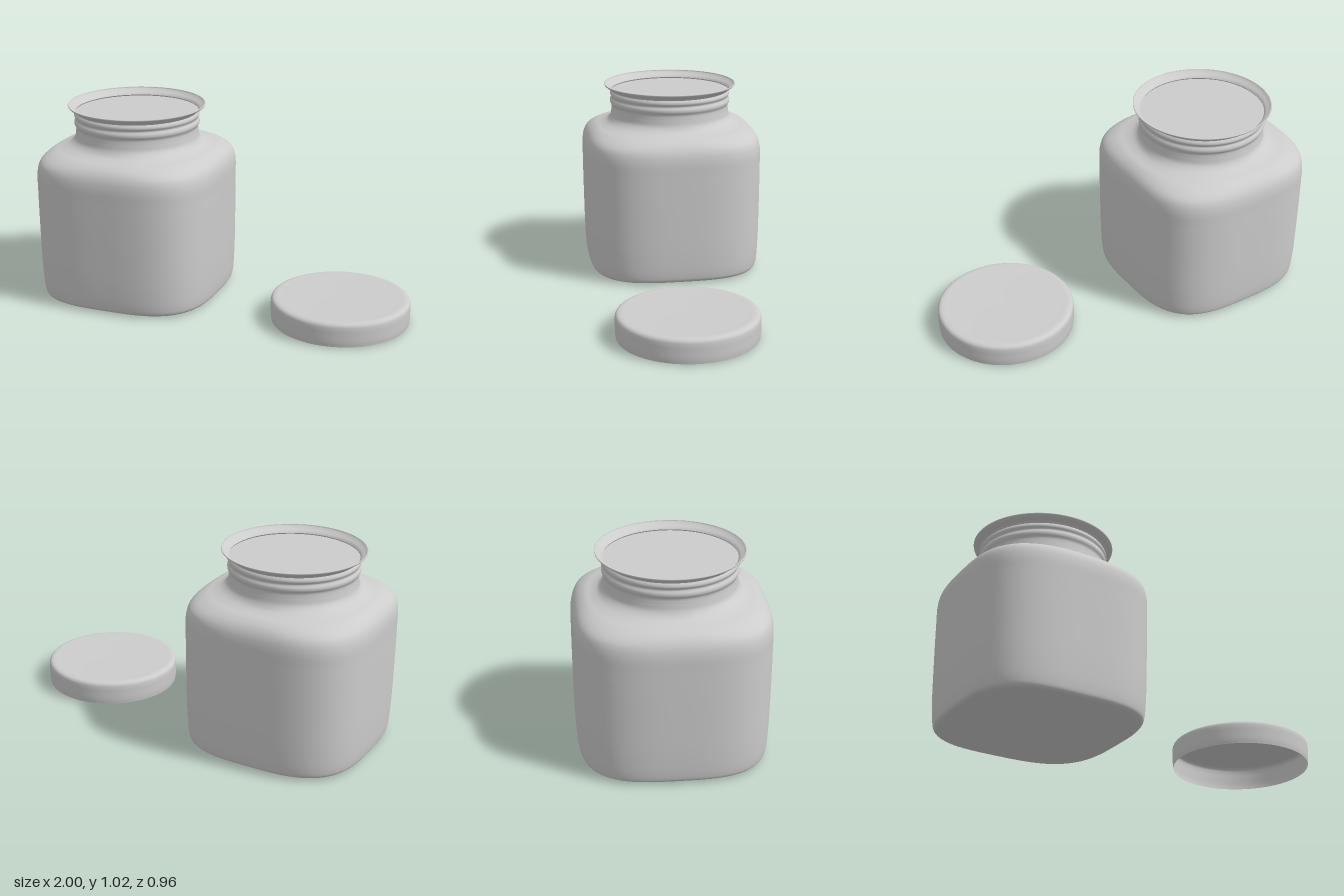
import * as THREE from 'three';

const grey = new THREE.MeshStandardMaterial({ color: 0xcccccc, side: THREE.DoubleSide });
grey.name = 'plainGrey';

// Smooth curve through [radius, height] points
function profile(points, steps) {
  const curve = new THREE.CatmullRomCurve3(
    points.map(([r, y]) => new THREE.Vector3(r, y, 0)), false, 'centripetal');
  return curve.getPoints((points.length - 1) * steps)
    .map(p => new THREE.Vector2(Math.max(0, p.x), p.y));
}

// Surface from stacked rings whose outline is a superellipse; power(y) = 2 is a circle
function ringSurface(rings, power, sides) {
  const positions = [], index = [];
  for (const { x: r, y } of rings) {
    const n = power(y);
    for (let i = 0; i < sides; i++) {
      const a = (i / sides) * Math.PI * 2;
      const s = Math.sin(a), c = Math.cos(a);
      const k = r * Math.pow(Math.abs(s) ** n + Math.abs(c) ** n, -1 / n);
      positions.push(k * s, y, k * c);
    }
  }
  for (let j = 0; j < rings.length - 1; j++) {
    for (let i = 0; i < sides; i++) {
      const a = j * sides + i, b = j * sides + (i + 1) % sides;
      index.push(a, b, a + sides, b, b + sides, a + sides);
    }
  }
  const geometry = new THREE.BufferGeometry();
  geometry.setAttribute('position', new THREE.Float32BufferAttribute(positions, 3));
  geometry.setIndex(index);
  geometry.computeVertexNormals();
  return geometry;
}

function part(name, geometry, parent) {
  const mesh = new THREE.Mesh(geometry, grey);
  mesh.name = name;
  parent.add(mesh);
  return mesh;
}

export function createModel() {
  const model = new THREE.Group();
  model.name = 'jarWithLid';

  // Jar: rounded-square body that blends into a round neck
  const jar = new THREE.Group();
  jar.name = 'jar';
  jar.position.set(-0.52, 0, 0);
  model.add(jar);

  const bodyProfile = profile([
    [0, 0.002], [0.2, 0.004], [0.42, 0.009], [0.447, 0.012], [0.46, 0.023], [0.467, 0.05],
    [0.474, 0.15], [0.478, 0.35], [0.48, 0.6], [0.479, 0.69], [0.469, 0.735], [0.448, 0.768],
    [0.415, 0.792], [0.375, 0.806], [0.346, 0.822], [0.329, 0.848], [0.323, 0.88],
  ], 6);
  const bodyPower = y => 3.2 - 1.2 * THREE.MathUtils.smoothstep(y, 0.74, 0.85);
  part('jarBody', ringSurface(bodyProfile, bodyPower, 96), jar);

  // Neck with two thread ridges
  const neckProfile = profile([
    [0.323, 0.88], [0.322, 0.905], [0.33, 0.922], [0.33, 0.935], [0.323, 0.951],
    [0.33, 0.966], [0.329, 0.976], [0.323, 0.986],
  ], 5);
  part('jarNeck', new THREE.LatheGeometry(neckProfile, 96), jar);

  // Flared lip
  const lipProfile = profile([
    [0.323, 0.986], [0.331, 0.995], [0.349, 1.006], [0.361, 1.017], [0.361, 1.022], [0.356, 1.022],
  ], 4);
  part('jarLip', new THREE.LatheGeometry(lipProfile, 96), jar);

  // Flat seal across the mouth
  const seal = part('mouthSeal', new THREE.CircleGeometry(0.326, 96), jar);
  seal.rotation.x = -Math.PI / 2;
  seal.position.y = 0.98;

  // Lid: open shell lying beside the jar
  const lidProfile = profile([
    [0.353, 0.007], [0.356, 0.03], [0.357, 0.07], [0.357, 0.1], [0.354, 0.117],
    [0.345, 0.127], [0.328, 0.131], [0.29, 0.13], [0, 0.129],
  ], 5);
  const lid = part('lid', new THREE.LatheGeometry(lidProfile, 96), model);
  lid.position.set(0.643, 0, 0.093);

  return model;
}
